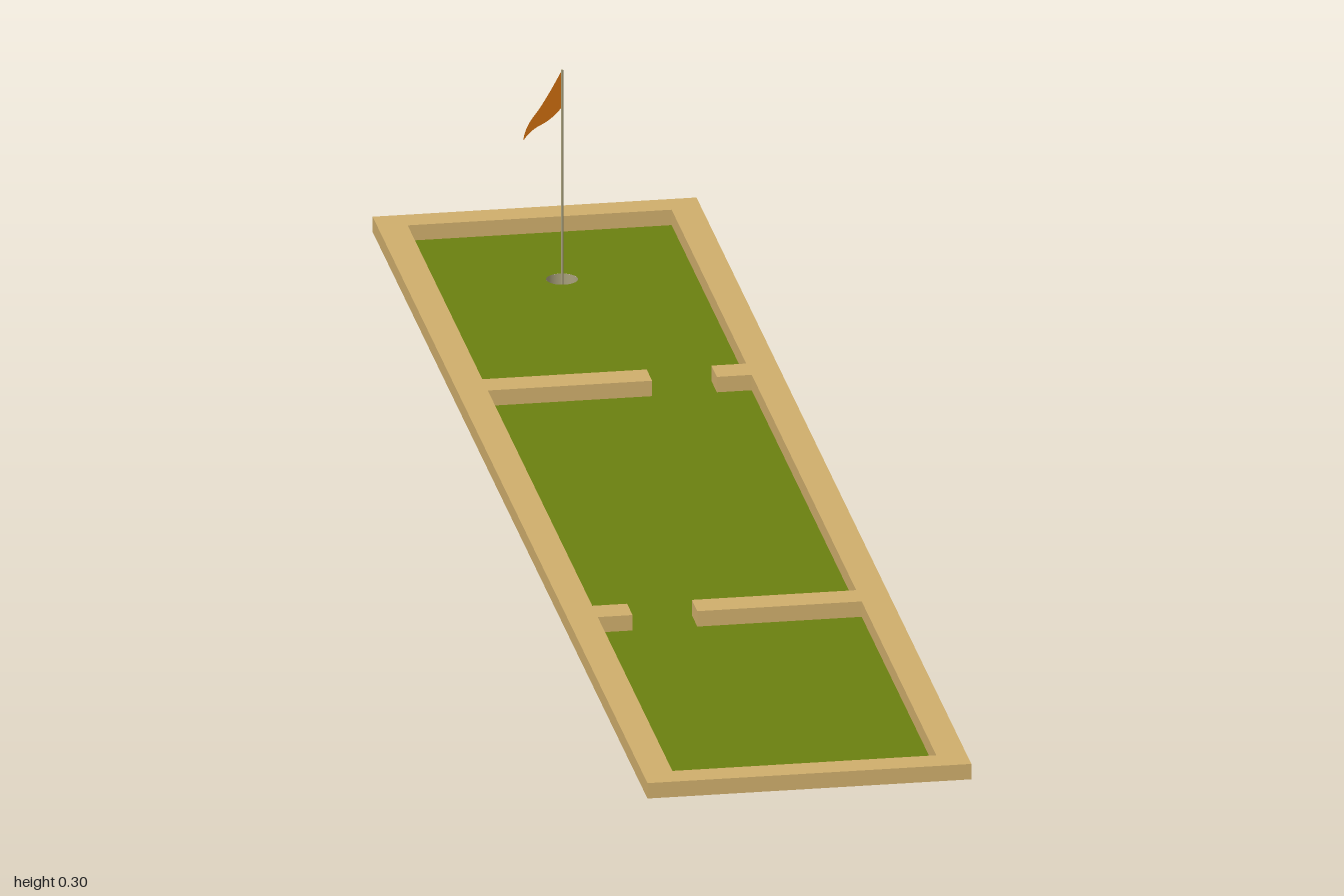
import * as THREE from 'three';

const FLOOR = 0.03, RIM = 0.05;      // turf height and top of the boards
const W = 0.2, L = 1;                // outer half sizes
const IW = 0.163, IL = 0.963;        // inner half sizes
const HOLE_Z = -0.8, HOLE_R = 0.0195;

function material(name, color) {
  const m = new THREE.MeshStandardMaterial({ color, side: THREE.DoubleSide });
  m.name = name;
  return m;
}

const points = (list) => list.map(([x, y]) => new THREE.Vector2(x, y));
const rect = (w, l) => points([[-w, -l], [w, -l], [w, l], [-w, l]]);

// Flat horizontal sheet from a shape drawn in x and -z
function sheet(shape, y) {
  return new THREE.ShapeGeometry(shape, 24).rotateX(-Math.PI / 2).translate(0, y, 0);
}

// Upright walls along a closed outline, facing to the right of its direction
function walls(outline, y0, y1) {
  const pos = [];
  outline.forEach((a, i) => {
    const b = outline[(i + 1) % outline.length];
    const c = [[a.x, y0, -a.y], [b.x, y0, -b.y], [b.x, y1, -b.y], [a.x, y1, -a.y]];
    for (const k of [0, 1, 2, 0, 2, 3]) pos.push(...c[k]);
  });
  const g = new THREE.BufferGeometry();
  g.setAttribute('position', new THREE.Float32BufferAttribute(pos, 3));
  g.computeVertexNormals();
  return g;
}

export function createModel() {
  const root = new THREE.Group();
  root.name = 'miniGolfLane';
  const wood = material('wood', 0xcfae6c);
  const green = material('turf green', 0x6b8010);
  const metal = material('dull metal', 0xa8a07c);
  const orange = material('flag orange', 0xc4680e);

  const add = (parent, name, geometry, mat) => {
    const mesh = new THREE.Mesh(geometry, mat);
    mesh.name = name;
    parent.add(mesh);
    return mesh;
  };

  // Board frame, open underneath, with two barriers that each leave a gap
  const half = [
    [-IW, IL], [IW, IL], [IW, 0.42], [0.12, 0.42], [0.12, 0.38], [IW, 0.38],
    [IW, -0.38], [-0.04, -0.38], [-0.04, -0.42], [IW, -0.42],
  ];
  const inner = points([...half, ...half.map(([x, y]) => [-x, -y])]);
  const outer = rect(W, L);
  const frameShape = new THREE.Shape(outer);
  frameShape.holes.push(new THREE.Path(inner));
  const frame = new THREE.Group();
  frame.name = 'boardFrame';
  root.add(frame);
  add(frame, 'frameTop', sheet(frameShape, RIM), wood);
  add(frame, 'outerWalls', walls(outer, FLOOR, RIM), wood);
  add(frame, 'innerWalls', walls(inner, FLOOR, RIM), wood);

  // Turf with the hole cut out
  const turfShape = new THREE.Shape(rect(IW, IL));
  turfShape.holes.push(new THREE.Path().absarc(0, -HOLE_Z, HOLE_R, 0, Math.PI * 2, true));
  add(root, 'turf', sheet(turfShape, FLOOR), green);

  // Cup, pole and flag
  const target = new THREE.Group();
  target.name = 'holeAndFlag';
  target.position.z = HOLE_Z;
  root.add(target);
  add(target, 'cupWall',
    new THREE.CylinderGeometry(HOLE_R, HOLE_R, FLOOR, 24, 1, true).translate(0, FLOOR / 2, 0), metal);
  add(target, 'cupFloor', new THREE.CircleGeometry(HOLE_R, 24).rotateX(Math.PI / 2), metal);
  add(target, 'pole', new THREE.CylinderGeometry(0.0015, 0.0015, 0.302, 8).translate(0, 0.151, 0), metal);

  const flag = new THREE.Shape();
  flag.moveTo(0, 0.302);
  flag.quadraticCurveTo(-0.022, 0.26, -0.034, 0.245);
  flag.quadraticCurveTo(-0.046, 0.23, -0.048, 0.213);
  flag.quadraticCurveTo(-0.038, 0.227, -0.026, 0.232);
  flag.quadraticCurveTo(-0.01, 0.24, 0, 0.254);
  add(target, 'flag', new THREE.ShapeGeometry(flag, 6), orange);

  return root;
}
